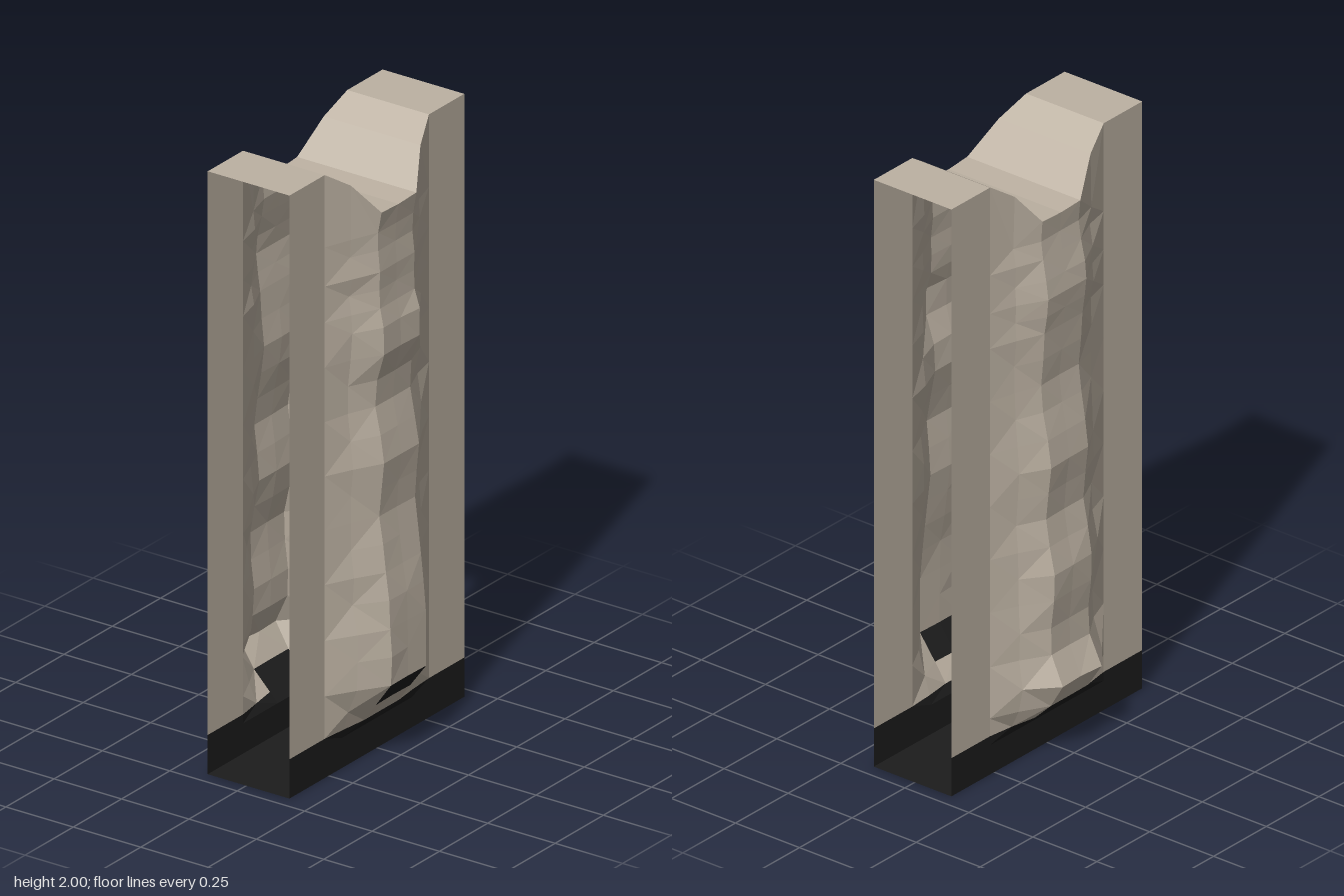
import * as THREE from 'three';

const stone = new THREE.MeshStandardMaterial({ color: 0xbdb2a3, flatShading: true, side: THREE.DoubleSide });
stone.name = 'warm stone';
const black = new THREE.MeshStandardMaterial({ color: 0x1c1c1c, flatShading: true, side: THREE.DoubleSide });
black.name = 'black';

// column positions, their top heights and how strongly each follows the bulge
const X = [-0.453, -0.27, -0.18, -0.09, 0, 0.09, 0.18, 0.27, 0.453];
const TOP = [2, 2, 1.94, 1.83, 1.825, 1.83, 1.94, 2, 2];
const WEIGHT = [0, 0, 0.4, 1, 0.98, 1, 0.4, 0, 0];

// row heights; the last row follows the notched top
const Y = [0, 0.1, 0.13, 0.19, 0.27, 0.365, 0.455, 0.55, 0.64, 0.73, 0.82, 0.91, 1, 1.09,
  1.18, 1.27, 1.36, 1.45, 1.51, 1.57, 1.63, 1.7, 1.76, 1.83];
// bulge outline of each side, row by row
const FRONT = [0.16, 0.16, 0.178, 0.22, 0.283, 0.285, 0.28, 0.275, 0.265, 0.25, 0.238, 0.247, 0.255, 0.24,
  0.222, 0.228, 0.255, 0.255, 0.24, 0.237, 0.24, 0.23, 0.233, 0.242];
const BACK = [0.143, 0.143, 0.173, 0.235, 0.285, 0.24, 0.235, 0.248, 0.25, 0.23, 0.216, 0.225, 0.235, 0.222,
  0.206, 0.196, 0.205, 0.21, 0.218, 0.226, 0.22, 0.205, 0.196, 0.2];

function seeded(seed) {
  return () => {
    seed = (seed * 16807) % 2147483647;
    return seed / 2147483647 - 0.5;
  };
}

// grid of surface points, [row][column]
function sheetPoints(outline, sign, seed) {
  const rnd = seeded(seed);
  const base = outline[0];
  return Y.map((y, j) => X.map((x, i) => {
    const last = j === Y.length - 1;
    const rough = last ? 0 : rnd() * 0.22;
    const w = WEIGHT[i] > 0.5 ? WEIGHT[i] - Math.abs(rough) * 0.6 : WEIGHT[i] * (1 + rough * 2);
    return [x, last ? TOP[i] : y, sign * (base + (outline[j] - base) * w)];
  }));
}

function meshFrom(name, positions, material) {
  const geo = new THREE.BufferGeometry();
  geo.setAttribute('position', new THREE.Float32BufferAttribute(positions, 3));
  geo.computeVertexNormals();
  const mesh = new THREE.Mesh(geo, material);
  mesh.name = name;
  return mesh;
}

// two triangles; flip swaps the diagonal
function quad(out, a, b, c, d, flip) {
  if (flip) out.push(...a, ...b, ...d, ...b, ...c, ...d);
  else out.push(...a, ...b, ...c, ...a, ...c, ...d);
}

// rough sheet with a black foot and a black patch low in the bulge
function makeSheet(name, pts, sign, patchRow) {
  const plain = [], dark = [];
  for (let j = 0; j < Y.length - 1; j++) {
    for (let i = 0; i < X.length - 1; i++) {
      const patch = j === patchRow && Math.abs(X[i] + X[i + 1]) < 0.1;
      const out = j < 2 || patch ? dark : plain;
      const a = pts[j][i], b = pts[j][i + 1], c = pts[j + 1][i + 1], d = pts[j + 1][i];
      const flip = (i + j) % 2 === 0;
      if (sign > 0) quad(out, a, b, c, d, flip);
      else quad(out, b, a, d, c, flip);
    }
  }
  const group = new THREE.Group();
  group.name = name;
  group.add(meshFrom(name + 'Surface', plain, stone), meshFrom(name + 'BlackFoot', dark, black));
  return group;
}

export function createModel() {
  const model = new THREE.Group();
  model.name = 'notchedSlab';
  const front = sheetPoints(FRONT, 1, 4711);
  const back = sheetPoints(BACK, -1, 9157);
  model.add(makeSheet('frontSheet', front, 1, 3), makeSheet('backSheet', back, -1, 2));

  // notched cap joining the two sheets; the ends stay open
  const cap = [];
  const n = Y.length - 1;
  for (let i = 0; i < X.length - 1; i++) quad(cap, front[n][i], front[n][i + 1], back[n][i + 1], back[n][i]);
  model.add(meshFrom('topCap', cap, stone));

  // flat underside
  const floor = [];
  const e = X.length - 1;
  quad(floor, back[0][0], back[0][e], front[0][e], front[0][0]);
  model.add(meshFrom('bottomPlate', floor, black));
  return model;
}
